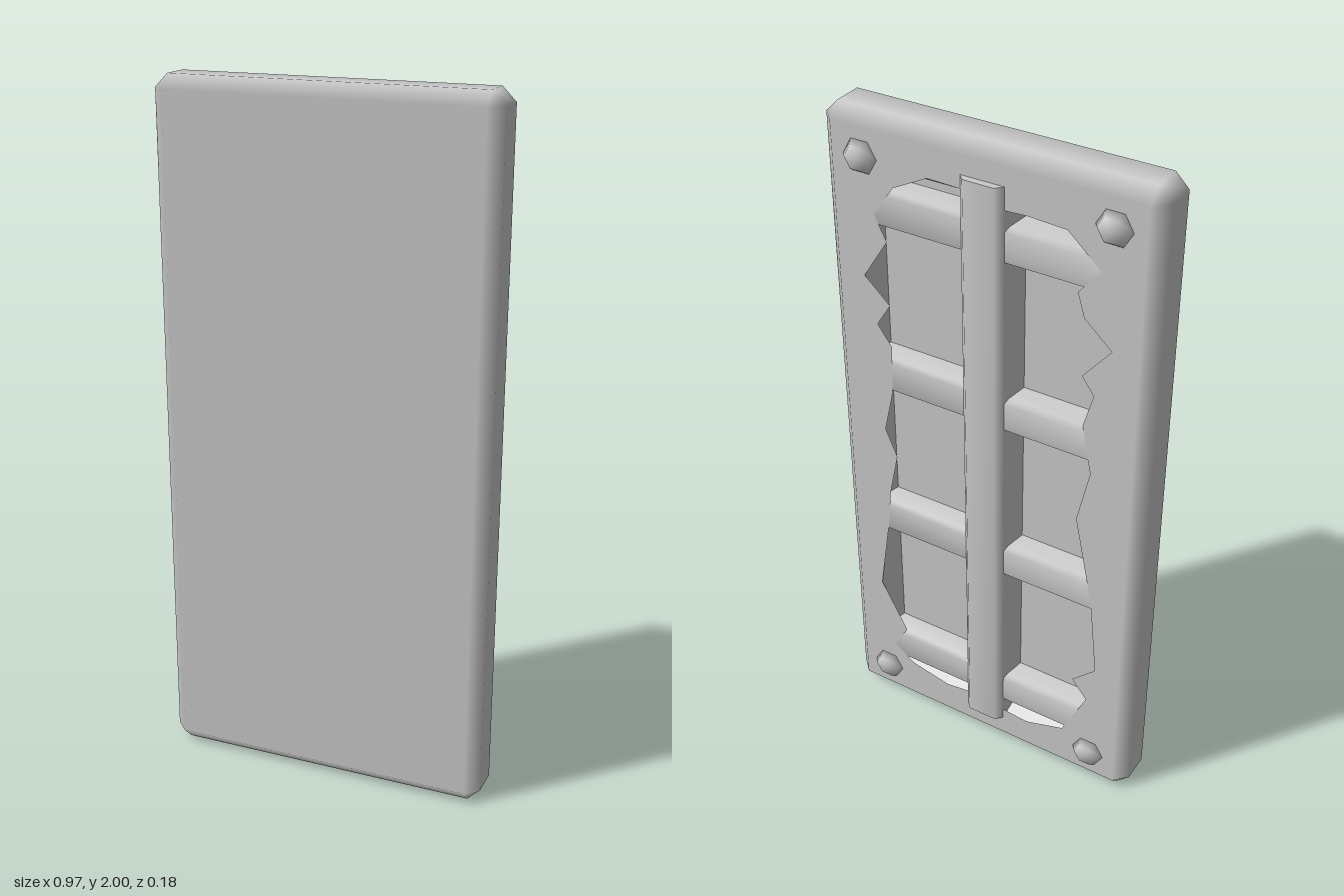
import * as THREE from 'three';
import { mergeVertices } from 'three/addons/utils/BufferGeometryUtils.js';

const W = 0.485, H = 1, C = 0.038;          // half width, half height, bevel
const FRONT = 0.09, BACK = -0.07, FLOOR = 0;

const points = (list) => list.map(([x, y]) => new THREE.Vector2(x, y));

// Weld a geometry and give it area-weighted smooth normals
function smooth(geo) {
  geo.deleteAttribute('normal');
  geo.deleteAttribute('uv');
  const g = mergeVertices(geo, 1e-4);
  g.computeVertexNormals();
  return g;
}

// Bevelled rim: four rings of eight points joined by quads, softly shaded
function rimGeometry() {
  const pos = [], nor = [], idx = [];
  const corners = [[1, -1], [1, 1], [-1, 1], [-1, -1]];
  const rings = [[FRONT, true, 1], [FRONT - C, false, 0.35], [BACK + C, false, -0.35], [BACK, true, -1]];
  for (const [z, inset, nz] of rings) {
    const out = Math.sqrt(1 - nz * nz);
    corners.forEach(([sx, sy], i) => {
      const onX = [sx * (inset ? W - C : W), sy * (H - C), sx, 0];
      const onY = [sx * (W - C), sy * (inset ? H - C : H), 0, sy];
      for (const [x, y, nx, ny] of i % 2 ? [onX, onY] : [onY, onX]) {
        pos.push(x, y + H, z);
        nor.push(nx * out, ny * out, nz);
      }
    });
  }
  for (let r = 0; r < 3; r++) {
    for (let i = 0; i < 8; i++) {
      const a = r * 8 + i, b = r * 8 + (i + 1) % 8;
      idx.push(a, a + 8, b, b, a + 8, b + 8);
    }
  }
  const g = new THREE.BufferGeometry();
  g.setAttribute('position', new THREE.Float32BufferAttribute(pos, 3));
  g.setAttribute('normal', new THREE.Float32BufferAttribute(nor, 3));
  g.setIndex(idx);
  return g;
}

// Cross-section (x, z) of a bar that widens from its bevelled top to the cavity floor
const barProfile = (top, shoulder, base, topZ, shoulderZ) => [
  [base, FLOOR], [shoulder, shoulderZ], [top, topZ],
  [-top, topZ], [-shoulder, shoulderZ], [-base, FLOOR],
];

// Bar along y: a plane folded over the profile
function barGeometry(length, profile) {
  const g = new THREE.PlaneGeometry(1, length, profile.length - 1, 1);
  const p = g.attributes.position;
  for (let i = 0; i < p.count; i++) {
    const [x, z] = profile[i % profile.length];
    p.setXYZ(i, x, p.getY(i), z);
  }
  g.computeVertexNormals();
  return g;
}

// Torn outline of the opening in the back skin
const TORN = [
  [0.058, 1.872], [0.16, 1.874], [0.264, 1.82], [0.326, 1.73], [0.29, 1.66],
  [0.367, 1.54], [0.29, 1.47], [0.333, 1.4], [0.29, 1.34], [0.295, 1.19],
  [0.326, 1.055], [0.29, 0.97], [0.32, 0.83], [0.333, 0.7], [0.37, 0.46],
  [0.285, 0.3], [0.333, 0.217], [0.264, 0.167], [0.14, 0.139], [0.058, 0.15],
  [-0.079, 0.135], [-0.147, 0.128], [-0.27, 0.167], [-0.346, 0.33], [-0.298, 0.39],
  [-0.37, 0.46], [-0.346, 0.71], [-0.29, 0.99], [-0.326, 1.154], [-0.298, 1.3],
  [-0.326, 1.4], [-0.29, 1.45], [-0.37, 1.547], [-0.29, 1.618], [-0.27, 1.686],
  [-0.333, 1.758], [-0.237, 1.844], [-0.127, 1.85], [-0.065, 1.847],
];

export function createModel() {
  const group = new THREE.Group();
  const grey = new THREE.MeshStandardMaterial({ color: 0xc8c8c8, side: THREE.DoubleSide });
  grey.name = 'plain grey';

  const add = (name, geo, x = 0, y = 0, z = 0) => {
    const m = new THREE.Mesh(geo, grey);
    m.name = name;
    m.position.set(x, y, z);
    group.add(m);
  };

  // Panel body
  add('panelRim', rimGeometry());
  add('frontFace', new THREE.PlaneGeometry(2 * (W - C), 2 * (H - C)), 0, H, FRONT);

  // Back skin with the torn opening, turned to face backwards
  const x = W - C, y0 = C, y1 = 2 * H - C;
  const skin = new THREE.Shape(points([[-x, y0], [x, y0], [x, y1], [-x, y1]]));
  skin.holes.push(new THREE.Path(points(TORN)));
  const back = new THREE.ShapeGeometry(skin);
  back.index.array.reverse();
  back.computeVertexNormals();
  add('backSkin', back, 0, 0, BACK);

  // Hollow behind the skin: floor and four walls leaning outwards
  const depth = FLOOR - BACK, hx = 0.372, hy = 0.9, taper = 0.922;
  add('cavityFloor', new THREE.PlaneGeometry(2 * hx * taper, 2 * hy * taper).rotateY(Math.PI), 0, H, FLOOR);
  const walls = new THREE.CylinderGeometry(Math.SQRT2 * taper, Math.SQRT2, depth, 4, 1, true, Math.PI / 4)
    .rotateX(Math.PI / 2).scale(hx, hy, 1).toNonIndexed();
  walls.computeVertexNormals();
  add('cavityWalls', walls, 0, H, (FLOOR + BACK) / 2);

  // Spine with closed ends
  const spine = barProfile(0.045, 0.063, 0.083, -0.09, BACK), spineLength = 1.81;
  add('spineBeam', barGeometry(spineLength, spine), 0, 1.005, 0);
  for (const s of [-1, 1]) {
    const cap = new THREE.ShapeGeometry(new THREE.Shape(points(spine.map(([a, z]) => [a, s * -z]))));
    add('spineEnd', cap.rotateX(-s * Math.PI / 2), 0, 1.005 + s * spineLength / 2, 0);
  }

  // Cross bars
  const cross = barGeometry(2 * hx * 0.96, barProfile(0.042, 0.052, 0.062, -0.069, -0.053)).rotateZ(Math.PI / 2);
  for (let i = 0; i < 4; i++) add('crossBeam', cross, 0, 0.225 + i * 0.507, 0);

  // Hexagonal bolts at the corners
  const bolt = smooth(new THREE.CylinderGeometry(0.035, 0.052, 0.022, 6)
    .rotateX(-Math.PI / 2).rotateZ(Math.PI / 2));
  for (const sx of [-1, 1]) {
    for (const sy of [-1, 1]) add('bolt', bolt, sx * 0.36, H + sy * 0.883, BACK - 0.009);
  }
  return group;
}
